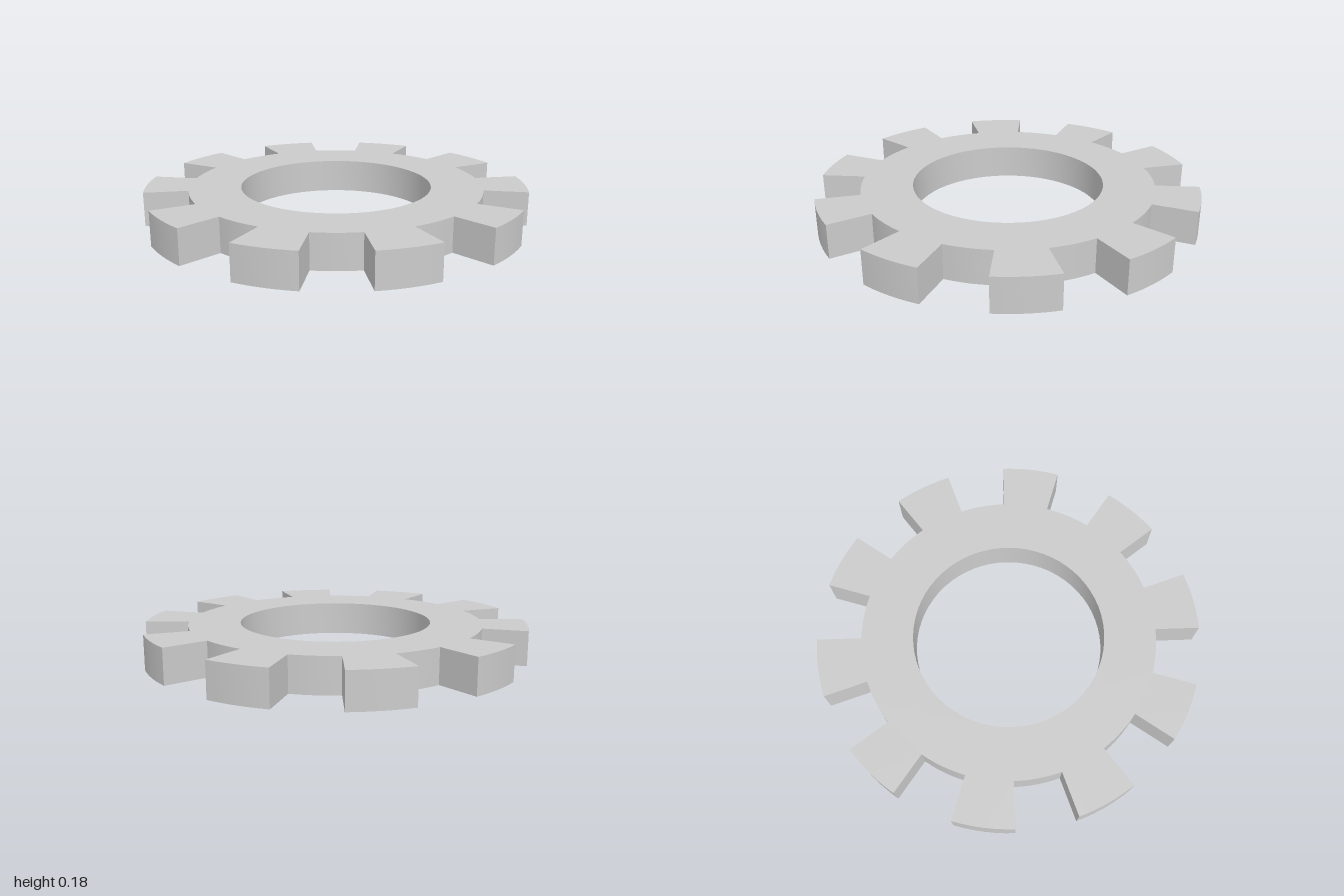
import * as THREE from 'three';
import { toCreasedNormals } from 'three/addons/utils/BufferGeometryUtils.js';

const TEETH = 10, TIP = 1, ROOT = 0.77, BORE = 0.5, HEIGHT = 0.18, ARC_STEPS = 6;

export function createModel() {
  // Outline: equal arcs alternating between tooth tip and root radius
  const outline = [];
  const arc = Math.PI / TEETH;
  for (let i = 0; i < TEETH * 2; i++) {
    const radius = i % 2 === 0 ? TIP : ROOT;
    const start = Math.PI / 2 + (i - 0.5) * arc;
    for (let s = 0; s <= ARC_STEPS; s++) {
      const a = start + (s / ARC_STEPS) * arc;
      outline.push(new THREE.Vector2(radius * Math.cos(a), radius * Math.sin(a)));
    }
  }
  const shape = new THREE.Shape(outline);

  // Round central bore
  shape.holes.push(new THREE.Path().absarc(0, 0, BORE, 0, Math.PI * 2, true));

  // Lay the extruded ring flat on the ground
  const extruded = new THREE.ExtrudeGeometry(shape, { depth: HEIGHT, bevelEnabled: false, curveSegments: 32 });
  extruded.rotateX(-Math.PI / 2);

  const gear = new THREE.Mesh(
    toCreasedNormals(extruded, 0.5),
    new THREE.MeshStandardMaterial({ color: 0xcccccc })
  );
  gear.name = 'gearRing';

  const model = new THREE.Group();
  model.name = 'gear';
  model.add(gear);
  return model;
}
